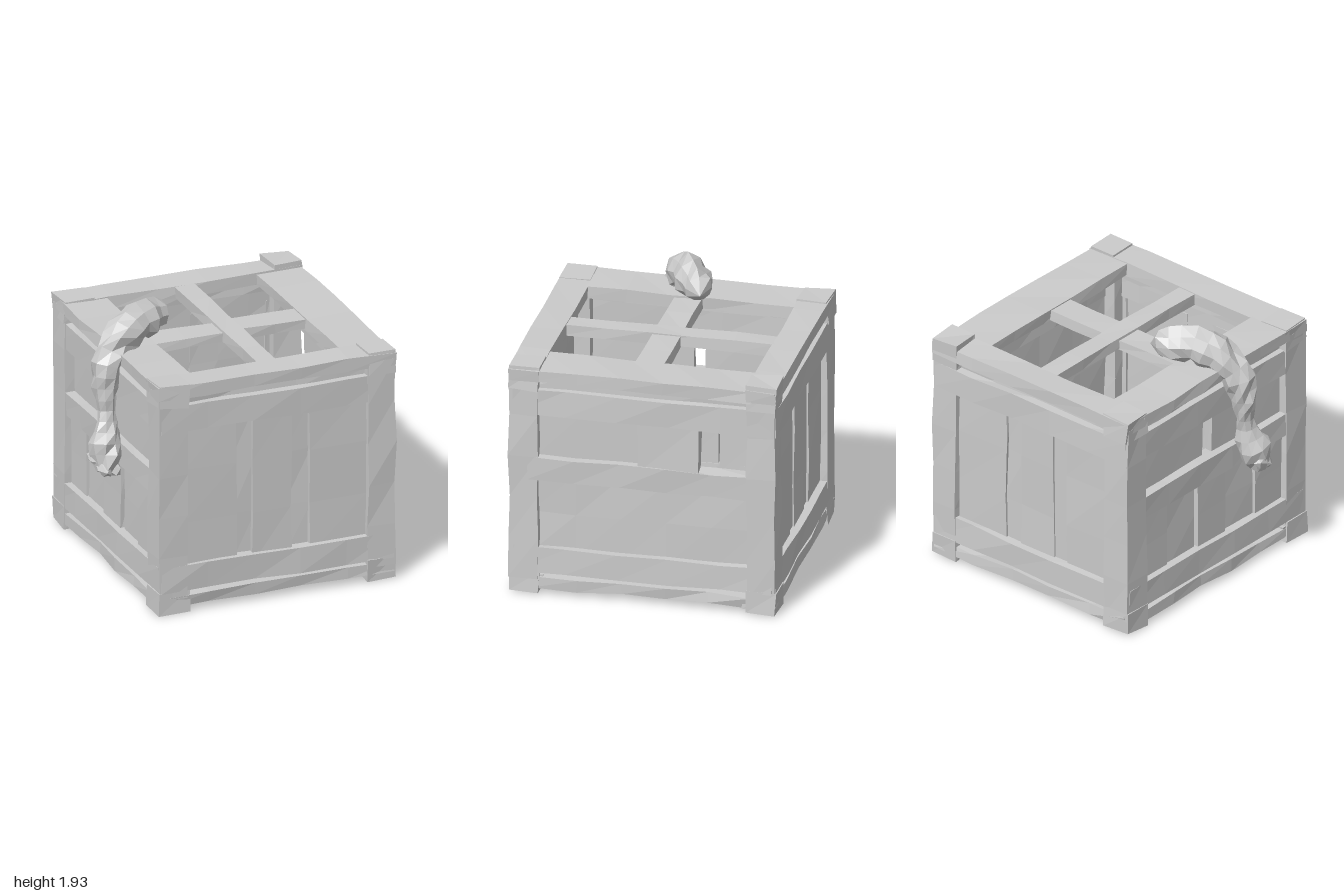
import * as THREE from 'three';

const material = new THREE.MeshStandardMaterial({ color: 0xcccccc, flatShading: true, side: THREE.DoubleSide });

// Repeatable noise in -0.5..0.5, equal for equal positions so corners stay closed
function noise(x, y, z, k) {
  const r = (v) => Math.round(v * 500) / 500;
  const s = Math.sin(r(x) * 127.1 + r(y) * 311.7 + r(z) * 74.7 + k * 57.3) * 4375.85;
  return s - Math.floor(s) - 0.5;
}

export function createModel() {
  const model = new THREE.Group();

  // Rough-hewn plank given by its extents
  function plank(name, x0, x1, y0, y1, z0, z1, rough = 0.014, parent = model) {
    const size = [x1 - x0, y1 - y0, z1 - z0];
    const seg = size.map((s) => Math.max(1, Math.round(s / 0.33)));
    const geo = new THREE.BoxGeometry(...size, ...seg);
    geo.translate((x0 + x1) / 2, (y0 + y1) / 2, (z0 + z1) / 2);
    const p = geo.attributes.position;
    for (let i = 0; i < p.count; i++) {
      const [x, y, z] = [p.getX(i), p.getY(i), p.getZ(i)];
      p.setXYZ(i, x + rough * noise(x, y, z, 1), y + rough * noise(x, y, z, 2), z + rough * noise(x, y, z, 3));
    }
    const mesh = new THREE.Mesh(geo, material);
    mesh.name = name;
    parent.add(mesh);
    return mesh;
  }

  const L = -0.75, R = 0.99, Z = 0.93;

  // Corner posts, with feet and raised caps
  for (const sx of [-1, 1]) {
    for (const sz of [-1, 1]) {
      const [x0, x1] = sx < 0 ? [L, L + 0.22] : [R - 0.21, R];
      const [z0, z1] = sz < 0 ? [-Z, -0.72] : [0.72, Z];
      plank('cornerPost', x0 + 0.005, x1 - 0.005, 0.1, 1.6, z0 + 0.005, z1 - 0.005);
      plank('cornerFoot', x0, x1, 0.005, 0.16, z0, z1, 0.02);
      plank('cornerCap', x0, x1, 1.5, sx > 0 && sz < 0 ? 1.685 : 1.665, z0, z1, 0.025);
    }
  }

  // Front and back walls: rails over upright planks of different depth
  const cuts = [-0.53, -0.18, -0.03, 0.22, 0.39, 0.77, 0.8];
  const depths = [0.04, 0.075, 0.035, 0.08, 0.045, 0.06];
  for (const s of [1, -1]) {
    const side = s > 0 ? 'front' : 'back';
    const slab = (name, x0, x1, y0, y1, d0, d1) =>
      plank(side + name, x0, x1, y0, y1, ...(s > 0 ? [Z - d1, Z - d0] : [-Z + d0, -Z + d1]));
    slab('UpperRail', L + 0.02, R - 0.02, 1.31, 1.5, 0.004, 0.13);
    slab('LowerRail', L + 0.02, R - 0.02, 0.15, 0.335, 0.004, 0.13);
    slab('RailSpacer', L + 0.1, R - 0.1, 1.48, 1.58, 0.06, 0.16);
    for (let i = 0; i < depths.length; i++) {
      const d = s > 0 ? depths[i] : 0.05 + (i % 2) * 0.015;
      slab('WallPlank', cuts[i] - 0.02, cuts[i + 1] + 0.015, 0.25, 1.4, d, d + 0.06);
    }
  }

  // Side walls: rails, middle rail and recessed panels
  for (const s of [1, -1]) {
    const side = s > 0 ? 'left' : 'right';
    const slab = (name, z0, z1, y0, y1, d0, d1) =>
      plank(side + name, ...(s > 0 ? [R - d1, R - d0] : [L + d0, L + d1]), y0, y1, z0, z1);
    slab('UpperRail', -0.9, 0.9, 1.31, 1.5, 0.012, 0.13);
    slab('MiddleRail', -0.8, 0.8, 0.83, 1.0, 0.012, 0.13);
    slab('LowerRail', -0.9, 0.9, 0.15, 0.335, 0.006, 0.13);
    slab('RailSpacer', -0.85, 0.85, 1.48, 1.58, 0.06, 0.16);
    slab('UpperPanel', 0.02, 0.78, 0.95, 1.36, 0.07, 0.12);
    if (s > 0) {
      // one broad lower board, a short flush board and an open window
      slab('LowerPanel', -0.78, 0.78, 0.28, 0.88, 0.06, 0.12);
      slab('ShortBoard', -0.385, 0.04, 0.96, 1.35, 0.016, 0.12);
    } else {
      slab('UpperBackPanel', -0.78, -0.06, 0.95, 1.36, 0.08, 0.12);
      for (let i = 0; i < 5; i++) {
        const z = -0.75 + i * 0.3;
        slab('LowerPlank', z, z + 0.29, 0.28, 0.88, 0.05 + (i % 2) * 0.02, 0.12);
      }
    }
  }

  // Lid frame with a long beam and cross bars, open between
  const [t0, t1] = [1.56, 1.65];
  plank('lidFrontRail', L, R, t0, t1, 0.71, Z);
  plank('lidBackRail', L, R, t0, t1, -Z, -0.72);
  plank('lidRightRail', L, -0.44, t0, t1 - 0.005, -0.75, 0.75);
  plank('lidLeftRail', 0.66, R, t0, t1 - 0.005, -0.75, 0.75);
  plank('lidBeam', 0.06, 0.2, t0, t1 - 0.003, -0.75, 0.75);
  plank('lidCrossBarRight', -0.5, 0.08, t0, t1 - 0.02, -0.08, 0.12);
  plank('lidCrossBarLeft', 0.18, 0.7, t0, t1 - 0.02, -0.08, 0.12);

  // Base frame and floor boards, open beside the left rail
  const [b0, b1] = [0.04, 0.12];
  plank('baseFrontRail', L + 0.02, R - 0.02, b0, b1, 0.7, Z - 0.01, 0.025);
  plank('baseBackRail', L + 0.02, R - 0.02, b0, b1, -Z + 0.01, -0.69, 0.025);
  plank('baseRightRail', L + 0.01, -0.44, b0, b1, -0.75, 0.75, 0.025);
  plank('baseLeftRail', 0.66, R - 0.01, b0, b1, -0.75, 0.75, 0.025);
  plank('baseBeam', 0.06, 0.2, b0, b1, -0.72, 0.72);
  plank('baseCrossBar', -0.5, 0.7, b0 + 0.005, b1 - 0.005, -0.08, 0.12);
  for (const [x0, x1] of [[-0.46, -0.205], [-0.195, 0.07], [0.19, 0.35]])
    plank('floorBoard', x0, x1, 0.06, 0.11, -0.72, 0.72);

  // Limp arm draped over the right rim
  const arm = new THREE.Group();
  arm.name = 'drapedArm';
  model.add(arm);
  const path = new THREE.CatmullRomCurve3([
    [-0.25, 1.74, -0.11], [-0.36, 1.76, -0.07], [-0.52, 1.78, 0.02], [-0.68, 1.71, 0.1], [-0.79, 1.61, 0.15],
    [-0.835, 1.42, 0.18], [-0.83, 1.2, 0.2], [-0.85, 1.02, 0.24], [-0.87, 0.9, 0.28], [-0.84, 0.79, 0.3],
  ].map((v) => new THREE.Vector3(...v)));
  const radii = [0, 0.1, 0.12, 0.125, 0.125, 0.115, 0.12, 0.115, 0.11, 0.1, 0.095, 0.09, 0.07, 0.06, 0.065, 0.09, 0.115, 0.115, 0.085, 0];
  const rings = radii.length - 1, sides = 9;
  const geo = new THREE.TubeGeometry(path, rings, 1, sides);
  const p = geo.attributes.position, v = new THREE.Vector3();
  for (let i = 0; i <= rings; i++) {
    const c = path.getPointAt(i / rings);
    for (let j = 0; j <= sides; j++) {
      const k = i * (sides + 1) + j;
      const r = radii[i] * (1 + 0.4 * noise(i, j % sides, 0, 4));
      v.fromBufferAttribute(p, k).sub(c).multiplyScalar(r).add(c);
      p.setXYZ(k, v.x, v.y, v.z);
    }
  }
  const sleeve = new THREE.Mesh(geo, material);
  sleeve.name = 'sleeve';
  arm.add(sleeve);

  // Curled fingers as faceted lumps
  for (const [x, y, z] of [[-0.93, 0.92, 0.25], [-0.9, 0.87, 0.32], [-0.82, 0.86, 0.3]]) {
    const finger = new THREE.Mesh(new THREE.IcosahedronGeometry(0.05, 0), material);
    finger.name = 'finger';
    finger.position.set(x, y, z);
    finger.scale.set(1, 1.6, 1);
    finger.rotation.set(x * 5, y * 3, 0.3);
    arm.add(finger);
  }
  return model;
}
